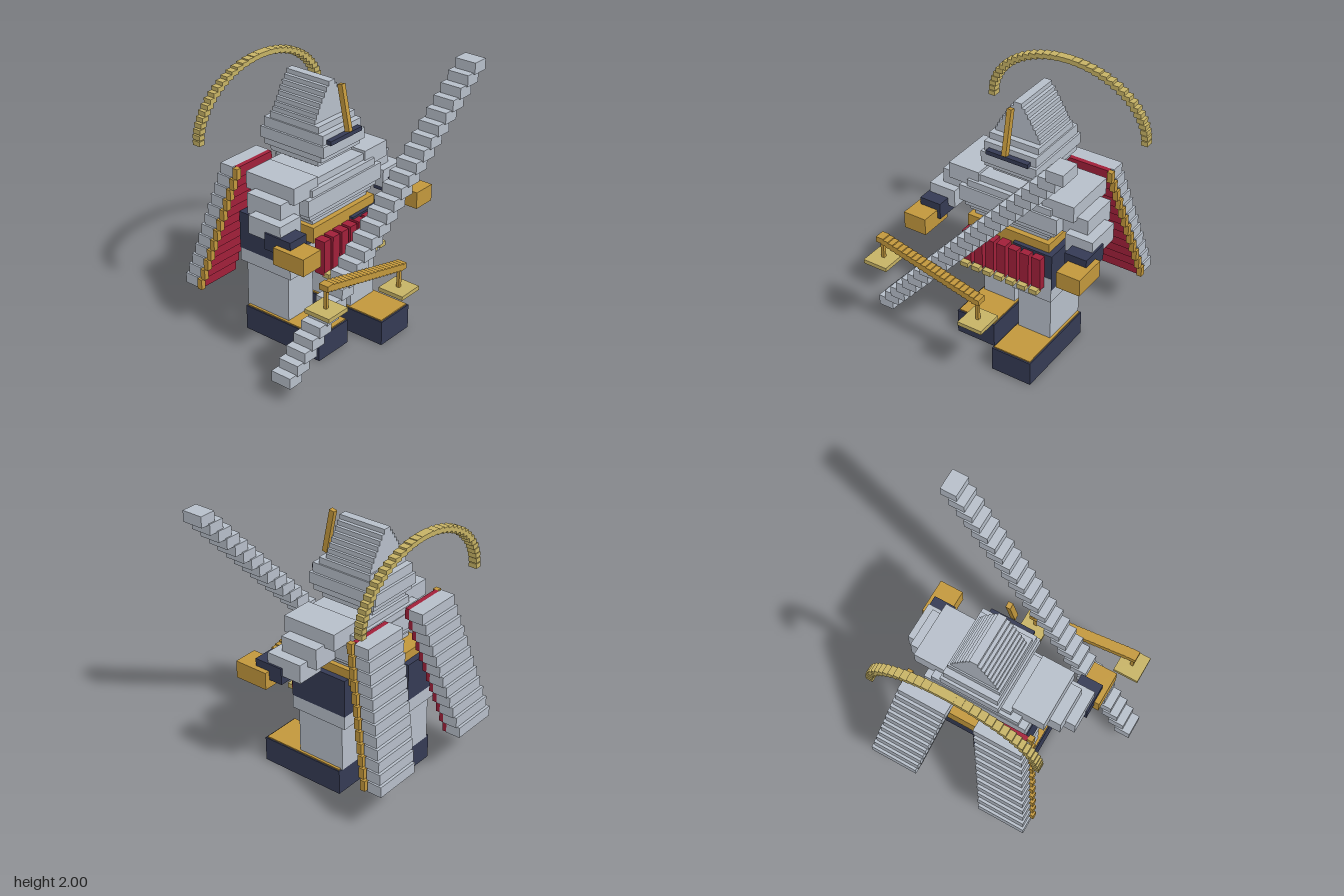
import * as THREE from 'three';

export function createModel() {
  const model = new THREE.Group();
  model.name = 'armouredGuardian';
  const mat = (name, color) => {
    const m = new THREE.MeshStandardMaterial({ color });
    m.name = name;
    return m;
  };
  const steel = mat('steel', 0xb8c0cb);
  const navy = mat('navy', 0x353b55);
  const red = mat('crimson', 0xa2203a);
  const gold = mat('gold', 0xc4993d);
  const pale = mat('paleGold', 0xc8b466);
  const CX = 0.075; // the body's middle plane

  const group = (name, parent = model) => {
    const g = new THREE.Group();
    g.name = name;
    parent.add(g);
    return g;
  };
  // Box from its extents
  const box = (parent, name, material, x0, x1, y0, y1, z0, z1) => {
    const m = new THREE.Mesh(new THREE.BoxGeometry(x1 - x0, y1 - y0, z1 - z0), material);
    m.position.set((x0 + x1) / 2, (y0 + y1) / 2, (z0 + z1) / 2);
    m.name = name;
    parent.add(m);
    return m;
  };
  // Box on one side of the body, a and b measured outward from the middle plane
  const sided = (parent, name, material, s, a, b, ...yz) =>
    box(parent, name, material, CX + Math.min(s * a, s * b), CX + Math.max(s * a, s * b), ...yz);
  // Stack of slabs centred on the body: [y0, y1, halfWidth, z0, z1]
  const stack = (parent, name, material, rows) =>
    rows.forEach(([y0, y1, h, z0, z1]) => box(parent, name, material, CX - h, CX + h, y0, y1, z0, z1));

  // Chest armour and belt
  const torso = group('torso');
  box(torso, 'belt', gold, -0.25, 0.4, 0.87, 0.985, -0.41, 0.17);
  stack(torso, 'chestSlab', steel, [
    [0.985, 1.02, 0.29, -0.28, 0.13],
    [1.02, 1.05, 0.32, -0.29, 0.145],
    [1.05, 1.09, 0.355, -0.31, 0.16],
    [1.09, 1.21, 0.385, -0.33, 0.18],
    [1.21, 1.26, 0.33, -0.325, 0.165],
    [1.26, 1.31, 0.26, -0.3, 0.13],
  ]);

  // Skirt strips with tips
  const skirt = group('skirt');
  for (let i = 0; i < 7; i++) {
    const x = -0.24 + i * 0.0925;
    box(skirt, 'skirtStrip', red, x, x + 0.07, 0.65, 0.905, 0.175, 0.255);
    box(skirt, 'skirtTip', pale, x + 0.003, x + 0.067, 0.635, 0.67, 0.235, 0.295);
  }

  // Neck, helmet, visor and crest
  const head = group('head');
  box(head, 'neck', steel, -0.03, 0.18, 1.31, 1.36, -0.265, 0.01);
  box(head, 'neckFront', navy, -0.03, 0.18, 1.315, 1.36, 0.01, 0.018);
  box(head, 'neckBack', navy, -0.03, 0.18, 1.315, 1.36, -0.273, -0.265);
  stack(head, 'helmetSlab', steel, [
    [1.355, 1.405, 0.175, -0.33, 0.085],
    [1.405, 1.45, 0.205, -0.36, 0.135],
    [1.45, 1.53, 0.215, -0.385, 0.165],
    [1.53, 1.6, 0.2, -0.365, 0.145],
    [1.6, 1.647, 0.19, -0.32, 0.1],
  ]);
  const taper = [0.172, 0.155, 0.138, 0.118, 0.098, 0.077, 0.055, 0.03];
  taper.forEach((h, i) => {
    const y = 1.645 + i * 0.0325;
    stack(head, 'helmetRidge', steel, [[y, y + 0.0325, h, -0.31, 0.055]]);
  });
  box(head, 'visor', navy, -0.088, 0.235, 1.53, 1.56, 0.1, 0.185);
  const crest = box(head, 'crest', gold, 0.057, 0.091, 1.58, 1.905, 0.147, 0.187);
  crest.rotation.x = -0.205;

  // Arch behind the head
  const arch = group('arch');
  const N = 34;
  for (let i = 0; i <= N; i++) {
    const a = (i / N) * Math.PI;
    const x = CX + 0.61 * Math.cos(a), y = 1.49 + 0.438 * Math.sin(a);
    const w = 0.024 + 0.008 * Math.sin(a);
    box(arch, 'archBlock', pale, x - w, x + w, y - 0.017, y + 0.017, -0.607, -0.545);
  }

  for (const s of [1, -1]) {
    const side = s > 0 ? 'left' : 'right';

    // Arm: shoulder, upper arm, forearm, cuff, fist
    const arm = group(side + 'Arm');
    sided(arm, 'shoulder', steel, s, 0.25, 0.49, 1.21, 1.33, -0.27, 0.145);
    sided(arm, 'upperArm', steel, s, 0.33, 0.572, 1.08, 1.23, -0.19, 0.1);
    sided(arm, 'forearm', steel, s, 0.44, 0.645, 0.985, 1.12, -0.115, 0.16);
    sided(arm, 'cuff', navy, s, 0.495, 0.658, 0.925, 1.045, 0.035, 0.255);
    sided(arm, 'fist', gold, s, 0.52, 0.695, 0.865, 0.99, 0.14, 0.395);

    // Leg: the right one stands a step further back
    const dz = s > 0 ? 0 : -0.205;
    const leg = group(side + 'Leg');
    sided(leg, 'boot', navy, s, 0.06, 0.37, 0, 0.185, -0.205 + dz, 0.462 + dz);
    sided(leg, 'bootTop', gold, s, 0.07, 0.36, 0.185, 0.194, -0.195 + dz, 0.45 + dz);
    sided(leg, 'shin', steel, s, 0.083, 0.342, 0.185, 0.55, -0.21 + dz, 0.165 + dz);
    sided(leg, 'knee', steel, s, 0.058, 0.364, 0.54, 0.735, -0.249 + dz, 0.202 + dz);
    sided(leg, 'thigh', navy, s, 0.056, 0.366, 0.64, 0.92, -0.251 + dz, 0.2 + dz);

    // Back panel: slabs stepping down, back and outward, with lining and outer trim
    const panel = group(side + 'BackPanel');
    for (let i = 0; i < 12; i++) {
      const t = i / 11;
      const y1 = 1.305 - i * 0.0787, y0 = y1 - 0.0787;
      const z = -0.415 - 0.225 * t; // front face of the slab
      const a = 0.105 + 0.15 * t;
      sided(panel, 'panelSlab', steel, s, a, a + 0.36, y0, y1, z - 0.11, z);
      sided(panel, 'panelLining', red, s, a + 0.005, a + 0.335, y0, y1, z, z + 0.035);
      sided(panel, 'panelTrim', gold, s, a + 0.335, a + 0.373, y0, y1, z + 0.012, z + 0.052);
    }
  }

  // Long stepped blade crossing in front
  const blade = group('blade');
  for (let i = 0; i < 26; i++) {
    const t = i / 25;
    const x = -0.774 + 1.548 * t, y = 0.184 + 1.776 * t, z = 0.38 + 0.277 * t;
    box(blade, 'bladeBlock', steel, x - 0.06, x + 0.06, y - 0.04, y + 0.04, z - 0.08, z + 0.08);
  }

  // Balance: stepped beam with two hanging pans
  const balance = group('balance');
  for (let i = 0; i < 21; i++) {
    const t = i / 20;
    const x = -0.645 + 0.77 * t, y = 0.89 - 0.19 * t;
    box(balance, 'beamBlock', gold, x - 0.03, x + 0.03, y - 0.021, y + 0.021, 0.568, 0.642);
  }
  for (const [x, y] of [[-0.648, 0.702], [0.123, 0.506]]) {
    box(balance, 'hanger', gold, x - 0.012, x + 0.012, y + 0.03, y + 0.18, 0.593, 0.617);
    box(balance, 'pan', pale, x - 0.094, x + 0.094, y, y + 0.03, 0.506, 0.706);
  }
  return model;
}
